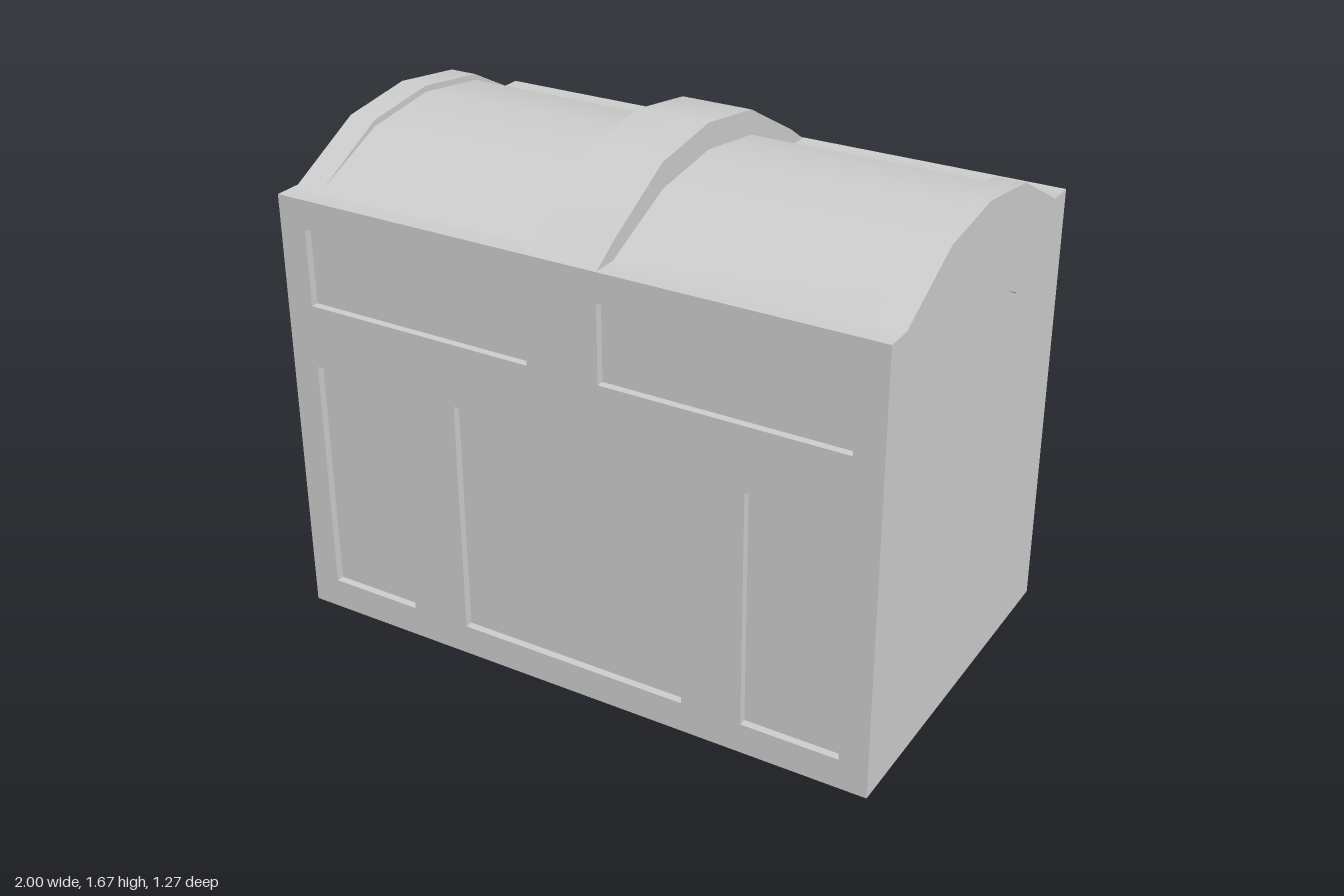
import * as THREE from 'three';
import { toCreasedNormals } from 'three/addons/utils/BufferGeometryUtils.js';

const FRONT = 0.635, BACK = -0.595, MID = 0.02; // depth of the body
const RECESS = 0.025;                           // depth of the sunken panels
const LEDGE = 1.43;                             // height of the lid's lower edge

export function createModel() {
  const group = new THREE.Group();
  const grey = new THREE.MeshStandardMaterial({ color: 0xcccccc });
  grey.name = 'lightGrey';

  const add = (name, geometry) => {
    const mesh = new THREE.Mesh(toCreasedNormals(geometry, 0.6), grey);
    mesh.name = name;
    group.add(mesh);
    return mesh;
  };
  const vec = (pts) => pts.map(([x, y]) => new THREE.Vector2(x, y));
  const rect = (x0, x1, y0, y1) => [[x0, y0], [x1, y0], [x1, y1], [x0, y1]];
  const plate = (outline, depth, holes = []) => {
    const shape = new THREE.Shape(vec(outline));
    holes.forEach((h) => shape.holes.push(new THREE.Path(vec(h))));
    return new THREE.ExtrudeGeometry(shape, { depth, bevelEnabled: false });
  };
  // Side outline given as [z, y], extruded from x0 to x1
  const across = (outline, x0, x1, holes = []) => {
    const flip = (pts) => pts.map(([z, y]) => [-z, y]);
    return plate(flip(outline), x1 - x0, holes.map(flip)).rotateY(Math.PI / 2).translate(x0, 0, 0);
  };
  // Five-point arch, front to back
  const arch = (edge, shoulder, top) =>
    [[0.545, edge], [0.28, shoulder], [MID, top], [-0.24, shoulder], [-0.505, edge]];

  // Inner body, whose faces are the sunken panels and the lid surface
  add('innerBody', across([
    [FRONT - RECESS, RECESS], [FRONT - RECESS, LEDGE],
    ...arch(LEDGE, 1.55, 1.585),
    [BACK + RECESS, LEDGE], [BACK + RECESS, RECESS],
  ], -1 + RECESS, 1 - RECESS));

  // Front and back frames
  const wallHoles = [rect(-0.39, 0.39, 0.1, 0.88)];
  for (const s of [-1, 1]) {
    wallHoles.push(rect(s * 0.59, s * 0.907, 0.1, 0.88));
    wallHoles.push(rect(s * 0.12, s * 0.907, 1.085, 1.335));
  }
  const wall = () => plate(rect(-1 + RECESS, 1 - RECESS, 0, LEDGE), RECESS, wallHoles);
  add('frontFrame', wall().translate(0, 0, FRONT - RECESS));
  add('backFrame', wall().translate(0, 0, BACK));

  // End frames with a rounded lower panel and an arched upper panel
  const rimArch = arch(LEDGE, 1.57, 1.605);
  const endOutline = [[FRONT, 0], [FRONT, LEDGE], ...rimArch, [BACK, LEDGE], [BACK, 0]];
  const archPanel = [...arch(1.335, 1.475, 1.515), ...arch(1.085, 1.23, 1.265).reverse()];
  const lowerPanel = [
    [0.4, 0.88], [-0.357, 0.88], [-0.455, 0.815], [-0.505, 0.71],
    [-0.505, 0.27], [-0.455, 0.16], [-0.357, 0.1], [0.4, 0.1],
    [0.495, 0.16], [0.545, 0.27], [0.545, 0.71], [0.495, 0.815],
  ];
  for (const [side, x0] of [['left', 1 - RECESS], ['right', -1]]) {
    add(side + 'EndFrame', across(endOutline, x0, x0 + RECESS, [archPanel, lowerPanel]));
  }

  // Lid rims at both ends
  add('leftLidRim', across(rimArch, 0.907, 1 - RECESS));
  add('rightLidRim', across(rimArch, -1 + RECESS, -0.907));

  // Raised strap over the middle of the lid
  add('lidStrap', across(
    [[0.628, LEDGE], ...arch(1.485, 1.63, 1.668), [-0.588, LEDGE]], -0.12, 0.12));

  // Base frame around the sunken underside
  const inX = 1 - RECESS, inF = FRONT - RECESS, inB = BACK + RECESS;
  add('baseFrame', plate(rect(-inX, inX, -inF, -inB), RECESS,
    [rect(-0.907, 0.907, -0.54, 0.505)]).rotateX(-Math.PI / 2));

  // Lock on the back: plate and raised block
  add('lockPlate', new THREE.BoxGeometry(0.296, 0.3, 0.03)).position.set(0, 0.92, -0.598);
  add('lockBlock', new THREE.BoxGeometry(0.176, 0.18, 0.035)).position.set(0, 0.95, -0.6175);

  return group;
}
